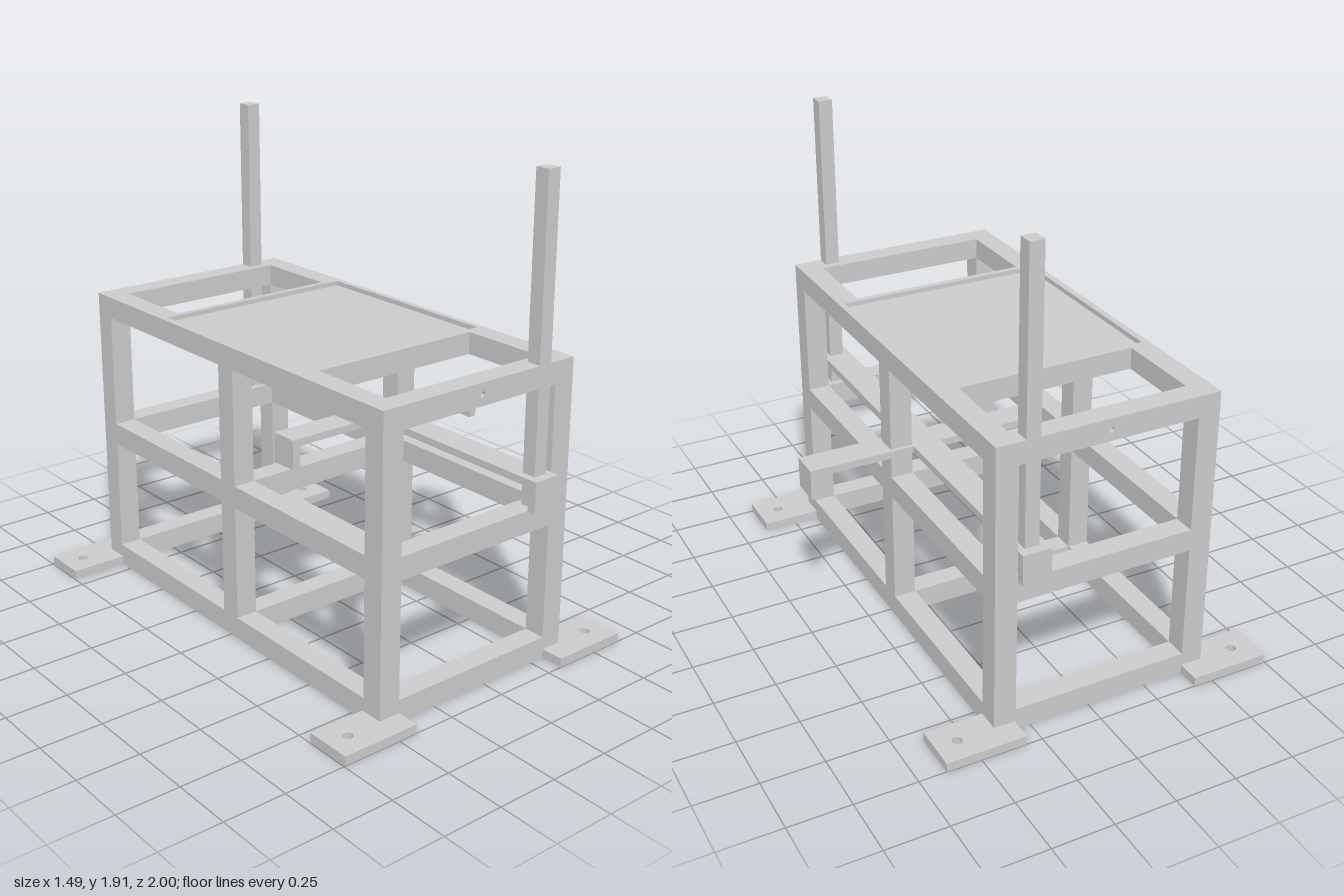
import * as THREE from 'three';

const T = 0.09;                       // square tube width
const X0 = -0.51, X1 = 0.40, Z = 0.905, H = 1.205;
const LEVELS = [0, 0.56];             // undersides of the lower and middle rails

export function createModel() {
  const model = new THREE.Group();
  const material = new THREE.MeshStandardMaterial({ color: 0xcccccc });

  const add = (name, geometry) => {
    const mesh = new THREE.Mesh(geometry, material);
    mesh.name = name;
    model.add(mesh);
    return mesh;
  };
  // Box given by its minimum and maximum corners
  const box = (name, x0, x1, y0, y1, z0, z1) =>
    add(name, new THREE.BoxGeometry(x1 - x0, y1 - y0, z1 - z0))
      .position.set((x0 + x1) / 2, (y0 + y1) / 2, (z0 + z1) / 2);
  const trace = (path, a0, a1, b0, b1) => {
    path.moveTo(a0, b0);
    path.lineTo(a1, b0);
    path.lineTo(a1, b1);
    path.lineTo(a0, b1);
    path.closePath();
    return path;
  };
  const rect = (...r) => trace(new THREE.Shape(), ...r);
  const rectHole = (...r) => trace(new THREE.Path(), ...r);
  const roundHole = (a, b, r) => new THREE.Path().absarc(a, b, r, 0, Math.PI * 2);
  const extrude = (shape, depth) =>
    new THREE.ExtrudeGeometry(shape, { depth, bevelEnabled: false, curveSegments: 16 });
  // Horizontal slab from a plan shape
  const slab = (name, shape, y0, y1) => {
    const geometry = extrude(shape, y1 - y0);
    geometry.rotateX(Math.PI / 2);
    add(name, geometry).position.y = y1;
  };

  // End frames: two openings and a small bolt hole in the top rail
  const end = rect(X0, X1, 0, H);
  end.holes.push(
    rectHole(X0 + T, X1 - T, T, 0.56),
    rectHole(X0 + T, X1 - T, 0.65, 1.117),
    roundHole(-0.055, 1.16, 0.011));
  for (const z of [-Z, Z - T]) add('endFrame', extrude(end, T)).position.z = z;

  // Long rails and middle uprights on both sides
  for (const x of [X0, X1 - T]) {
    for (const y of LEVELS) box('sideRail', x, x + T, y, y + T, -Z + T, Z - T);
    box('middleUpright', x, x + T, T, 0.56, -T / 2, T / 2);
    box('middleUpright', x, x + T, 0.65, 1.117, -T / 2, T / 2);
  }
  // Cross rails joining the middle uprights
  for (const y of LEVELS) box('crossRail', X0 + T, X1 - T, y, y + T, -T / 2, T / 2);

  // Top frame: lower layer carries the panel, upper layer has its pocket
  const zi = Z - T, bay = 0.453;
  const lower = rect(X0, X1, -zi, zi), upper = rect(X0, X1, -zi, zi);
  for (const shape of [lower, upper]) {
    shape.holes.push(rectHole(X0 + T, X1 - T, bay, zi - 0.0005),
      rectHole(X0 + T, X1 - T, -zi + 0.0005, -bay));
  }
  lower.holes.push(rectHole(X0 + T, X1 - T, -bay + T, bay - T));
  upper.holes.push(rectHole(-0.482, 0.375, -0.427, 0.427));
  slab('topRails', lower, 1.117, 1.165);
  slab('panelPocket', upper, 1.165, H);
  box('tablePanel', -0.48, 0.373, 1.165, 1.187, -0.425, 0.425);

  // Drilled mounting feet at the four corners
  for (const [x0, x1, hx] of [[-0.745, -0.42, -0.655], [0.315, 0.64, 0.55]]) {
    for (const s of [-1, 1]) {
      const foot = rect(x0, x1, Math.min(s * 0.81, s), Math.max(s * 0.81, s));
      foot.holes.push(roundHole(hx, s * 0.905, 0.02));
      slab('foot', foot, -0.001 + 0.001, 0.037);
    }
  }

  // Guide posts passing through the top end rails
  for (const s of [-1, 1]) {
    const z = s * (Z - 0.031);
    box('guidePost', 0.225, 0.283, 0.65, 1.915, z - 0.03, z + 0.03);
  }

  // Sliding cross of two flat bars with turned-down ends
  const y0 = 0.65, y1 = 0.775, yb = 0.745, t = 0.035;
  box('longBar', 0.193, 0.31, yb, y1, -0.942, 0.942);
  box('crossBar', -0.24, 0.742, yb, y1, -0.06, 0.06);
  for (const z of [-0.942, 0.942 - t]) box('longBarLip', 0.193, 0.31, y0, yb, z, z + t);
  for (const x of [-0.24, 0.742 - t]) box('crossBarLip', x, x + t, y0, yb, -0.06, 0.06);

  return model;
}
